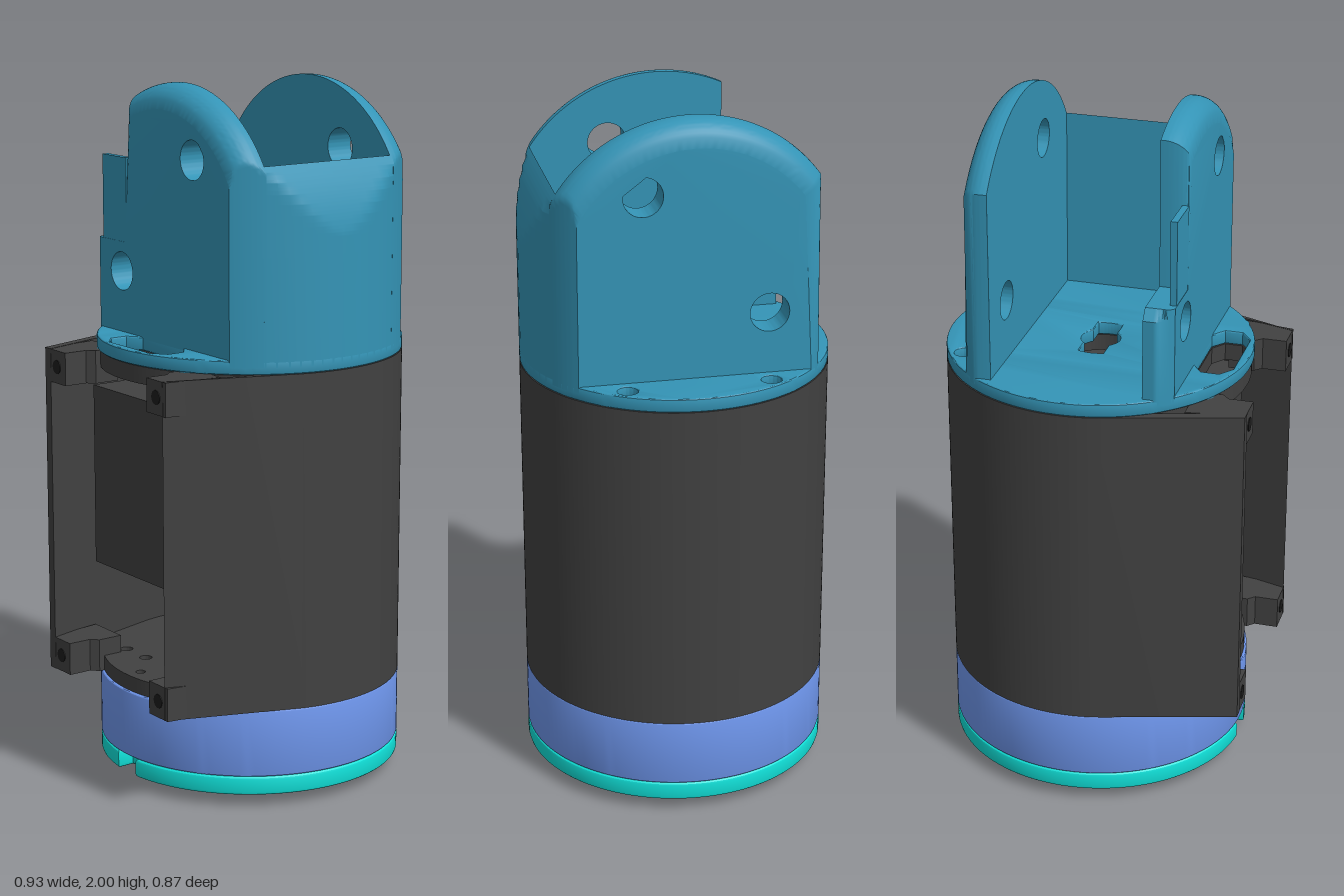
import * as THREE from 'three';
import { toCreasedNormals } from 'three/addons/utils/BufferGeometryUtils.js';

const CX = 0.03, R = 0.437;          // axis position and radius of the round body
const ARC_Y = 1.56, ARC_R = 0.44;    // rounded top of the fork plates

const material = (color) => new THREE.MeshStandardMaterial({ color, side: THREE.DoubleSide });
const circle = (x, y, r) => new THREE.Path().absarc(x, y, r, 0, Math.PI * 2, true);
const polygon = (pts) => new THREE.Path(pts.map(([x, y]) => new THREE.Vector2(x, y)));

export function createModel() {
  const model = new THREE.Group();
  const teal = material(0x3494b6), dark = material(0x414141), blue = material(0x6f97ee);
  const cyan = material(0x10e0d8), grey = material(0xcccccc);

  const add = (name, geometry, mat) => {
    const mesh = new THREE.Mesh(geometry, mat);
    mesh.name = name;
    model.add(mesh);
    return mesh;
  };
  // Extrude a plan shape (x, -z) upwards from y0 to y1
  const slab = (name, shape, y0, y1, mat, bevel = 0) => {
    const g = new THREE.ExtrudeGeometry(shape, {
      depth: y1 - y0 - 2 * bevel, curveSegments: 64, bevelEnabled: bevel > 0,
      bevelSize: bevel, bevelOffset: -bevel, bevelThickness: bevel, bevelSegments: 3,
    });
    g.rotateX(-Math.PI / 2).translate(0, y0 + bevel, 0);
    return add(name, toCreasedNormals(g, 0.5), mat);
  };
  const disc = (r, holes) => {
    const s = new THREE.Shape().absarc(CX, 0, r, 0, Math.PI * 2, false);
    s.holes.push(...holes);
    return s;
  };
  const box = (name, x0, x1, y0, y1, z0, z1, mat) =>
    add(name, new THREE.BoxGeometry(x1 - x0, y1 - y0, z1 - z0)
      .translate((x0 + x1) / 2, (y0 + y1) / 2, (z0 + z1) / 2), mat);

  // Base plate with screw holes and a cable notch on the wing side
  const base = new THREE.Shape();
  base.absarc(CX, 0, R, -Math.PI + 0.1, Math.PI - 0.1, false);
  base.lineTo(-0.355, 0.044);
  base.lineTo(-0.355, -0.044);
  base.closePath();
  base.holes.push(circle(CX, 0, 0.235));
  for (let k = -3; k <= 3; k++) {
    const a = k * Math.PI / 4;
    base.holes.push(circle(CX + 0.375 * Math.cos(a), 0.375 * Math.sin(a), 0.027));
  }
  slab('basePlate', base, 0.035, 0.09, cyan, 0.01);

  // Drive ring
  slab('driveRing', disc(R, [circle(CX, 0, 0.235), circle(-0.355, 0, 0.014)]), 0.09, 0.285, blue, 0.006);

  // Hollow output shaft, flange and hub turned in one piece
  const profile = [[0.055, 1.15], [0.055, 0], [0.083, 0], [0.083, 0.022], [0.235, 0.022],
    [0.235, 0.27], [0.108, 0.27], [0.108, 1.15], [0.055, 1.15]];
  const turned = new THREE.LatheGeometry(profile.map(([x, y]) => new THREE.Vector2(x, y)), 48);
  add('outputShaft', toCreasedNormals(turned, 0.5).translate(CX, 0, 0), grey);
  for (let i = 0; i < 16; i++) {
    const a = i * Math.PI / 8, r = i % 2 ? 0.135 : 0.175;
    add('flangeScrew', new THREE.CylinderGeometry(0.013, 0.013, 0.006, 12)
      .translate(CX + r * Math.cos(a), 0.021, r * Math.sin(a)), dark);
  }

  // Housing shell: round wall running tangentially into two wings
  const t = 1.857;
  const shell = new THREE.Shape();
  shell.moveTo(-0.465, -0.31);
  shell.absarc(CX, 0, R, -t, t, false);
  shell.lineTo(-0.465, 0.31);
  shell.lineTo(-0.465, 0.282);
  shell.absarc(CX, 0, R - 0.028, t, -t, true);
  shell.lineTo(-0.465, -0.282);
  shell.closePath();
  slab('housingShell', shell, 0.285, 1.24, dark);

  // Cable slot shared by the housing cap and the fork flange
  const slot = () => polygon([[-0.38, -0.1], [-0.38, 0.1], [-0.35, 0.14], [-0.3, 0.14],
    [-0.27, 0.1], [-0.27, -0.1], [-0.3, -0.14], [-0.35, -0.14]]);
  const floorHoles = [circle(CX, 0, 0.108), circle(-0.355, 0, 0.014)];
  for (const z of [-0.2, -0.1, 0.1, 0.2]) floorHoles.push(circle(-0.27, z, 0.018));
  slab('housingFloor', disc(0.43, floorHoles), 0.286, 0.33, dark);
  slab('housingCap', disc(0.43, [circle(CX, 0, 0.108), slot()]), 1.19, 1.239, dark);

  // Inner block behind the opening
  const block = new THREE.Shape();
  polygon([[-0.316, -0.29], [0.27, -0.29], [0.27, 0.29], [-0.316, 0.29]]).getPoints()
    .forEach((p, i) => (i ? block.lineTo(p.x, p.y) : block.moveTo(p.x, p.y)));
  block.holes.push(circle(CX, 0, 0.108));
  slab('innerBlock', block, 0.585, 1.115, dark);

  // Mounting lugs in the corners of the opening, each with a screw hole
  for (const s of [1, -1]) for (const y of [0.286, 1.144]) {
    const lug = new THREE.Shape([[-0.464, 0.205], [-0.395, 0.205], [-0.375, 0.185],
      [-0.3, 0.185], [-0.3, 0.32], [-0.464, 0.295]].map(([x, z]) => new THREE.Vector2(x, z * s)));
    slab('mountingLug', lug, y, y + 0.095, dark);
    add('lugHole', new THREE.CylinderGeometry(0.02, 0.02, 0.004, 16).rotateZ(Math.PI / 2)
      .translate(-0.464, y + 0.048, s * 0.25), material(0x1c1c1c));
  }

  // Fork flange
  const slit = new THREE.Path();
  slit.absarc(CX, 0, 0.105, 1.23, Math.PI - 1.23, false);
  slit.absarc(CX, 0, 0.056, Math.PI - 0.89, Math.PI + 0.89, false);
  slit.absarc(CX, 0, 0.105, Math.PI + 1.23, Math.PI * 2 - 1.23, false);
  slit.absarc(CX, 0, 0.056, -0.89, 0.89, false);
  const flangeHoles = [slit, slot()];
  for (const x of [-0.32, 0.37]) for (const z of [-0.2, 0.2]) flangeHoles.push(circle(x, z, 0.028));
  slab('forkFlange', disc(R, flangeHoles), 1.24, 1.28, teal, 0.006);

  // Side profile (z, y) extruded along x, trimmed by the round body;
  // the outer top edge is rounded over a depth of `fillet`
  const forkPart = (name, shape, x0, x1, outer, fillet) => {
    const g = new THREE.ExtrudeGeometry(shape, {
      depth: x1 - x0, steps: 14, curveSegments: 40, bevelEnabled: false });
    const p = g.attributes.position;
    for (let i = 0; i < p.count; i++) {
      let z = p.getX(i), y = p.getY(i);
      const x = x0 + p.getZ(i);
      const d = Math.max(0, fillet - Math.abs(x - outer));
      const inset = fillet - Math.sqrt(Math.max(0, fillet * fillet - d * d));
      if (y > ARC_Y && Math.hypot(z, y - ARC_Y) > ARC_R - 0.01) {
        const k = (ARC_R - inset) / ARC_R;
        z *= k;
        y = ARC_Y + (y - ARC_Y) * k;
      }
      const limit = Math.sqrt(R * R - (x - CX) ** 2);
      p.setXYZ(i, x, y, THREE.MathUtils.clamp(z, -limit, limit));
    }
    // swapping x and z mirrors the solid, so flip the corner order
    for (let i = 0; i < p.count; i += 3) {
      const a = new THREE.Vector3().fromBufferAttribute(p, i + 1);
      const b = new THREE.Vector3().fromBufferAttribute(p, i + 2);
      p.setXYZ(i + 1, b.x, b.y, b.z);
      p.setXYZ(i + 2, a.x, a.y, a.z);
    }
    g.computeVertexNormals();
    add(name, toCreasedNormals(g, 0.6), teal);
  };
  const arcAngle = (z) => Math.acos(z / ARC_R);
  const plateShape = (notched) => {
    const s = new THREE.Shape();
    s.moveTo(-0.355, 1.26);
    s.lineTo(R, 1.26);
    s.absarc(0, ARC_Y, ARC_R, 0, arcAngle(notched ? -0.185 : -0.355), false);
    if (notched) {
      s.lineTo(-0.185, 1.54);
      s.lineTo(-0.33, 1.54);
      s.lineTo(-0.355, 1.51);
    }
    s.closePath();
    s.holes.push(circle(0.145, 1.805, 0.055), circle(-0.205, 1.455, 0.055));
    return s;
  };
  forkPart('leftForkPlate', plateShape(false), 0.24, 0.322, 0.322, 0.07);
  forkPart('rightForkPlate', plateShape(true), -0.27, -0.19, -0.27, 0.07);
  box('rightForkFin', -0.269, -0.25, 1.53, 1.78, -0.3, -0.18, teal);

  // Curved wall closing the front of the fork
  const wall = new THREE.Shape();
  wall.moveTo(0.362, 1.26);
  wall.lineTo(R, 1.26);
  wall.absarc(0, ARC_Y, ARC_R, 0, arcAngle(0.366), false);
  wall.closePath();
  forkPart('frontWall', wall, -0.195, 0.245, 9, 0);

  return model;
}
